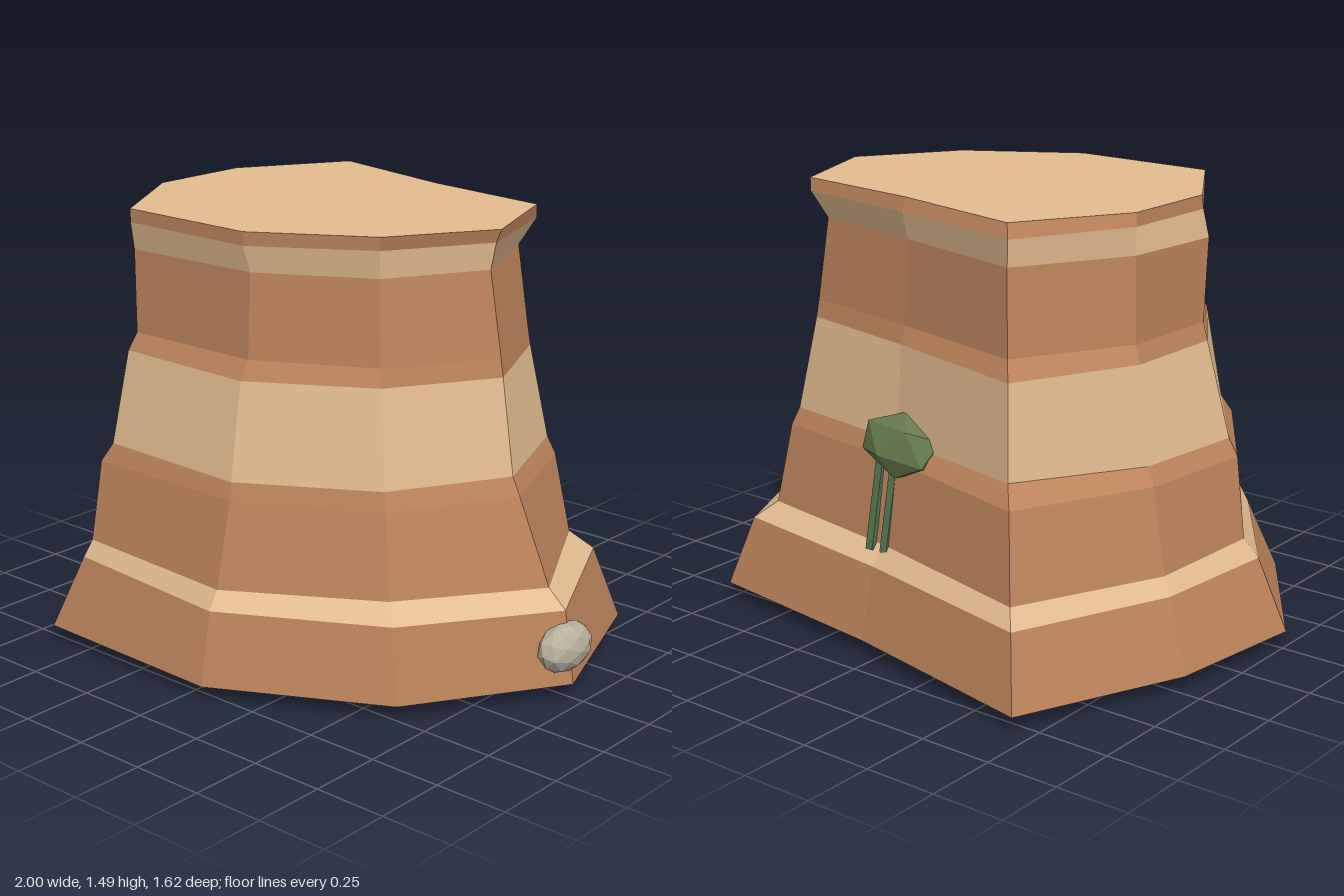
import * as THREE from 'three';

const material = (name, color, side = THREE.FrontSide, flatShading = true) => {
  const m = new THREE.MeshStandardMaterial({ color, side, flatShading });
  m.name = name;
  return m;
};

export function createModel() {
  const model = new THREE.Group();
  model.name = 'mesa';
  const terracotta = material('terracotta rock', 0xbd845c, THREE.DoubleSide, false);
  const tan = material('tan rock', 0xe4bd91, THREE.DoubleSide, false);
  const stone = material('pale stone', 0xb9b09e);
  const gray = material('gray boulder', 0x90908c);
  const floor = material('gray floor', 0x71706e, THREE.DoubleSide);
  const water = material('pale blue', 0x8ea5b6, THREE.DoubleSide);
  const char = material('charred wood', 0x6a6160);
  const leaf = material('leaf green', 0x657a4c);
  const stem = material('stem green', 0x537250);

  const add = (name, geometry, mat, position = [0, 0, 0], scale = [1, 1, 1], rotation = [0, 0, 0]) => {
    const mesh = new THREE.Mesh(geometry, mat);
    mesh.name = name;
    mesh.position.set(...position);
    mesh.scale.set(...scale);
    mesh.rotation.set(...rotation);
    model.add(mesh);
  };

  // Footprint corners, and each corner's scale at every height
  const levels = [0.055, 0.30, 0.36, 0.64, 0.70, 1.02, 1.08, 1.36, 1.45, 1.495];
  const footprint = [
    [0.965, 0.01], [0.645, 0.51], [0.08, 0.805], [-0.65, 0.785], [-1, 0.27],
    [-0.935, -0.24], [-0.69, -0.81], [0.05, -0.655], [0.755, -0.56],
  ];
  const taper = [
    [1, 0.96, 0.89, 0.76, 0.73, 0.68, 0.67, 0.62, 0.64, 0.66],
    [1, 0.93, 0.85, 0.79, 0.76, 0.69, 0.67, 0.64, 0.65, 0.66],
    [1, 0.94, 0.89, 0.80, 0.79, 0.72, 0.67, 0.65, 0.69, 0.69],
    [1, 0.89, 0.86, 0.82, 0.78, 0.72, 0.69, 0.69, 0.70, 0.70],
    [1, 0.90, 0.85, 0.82, 0.79, 0.71, 0.695, 0.705, 0.685, 0.68],
    [1, 0.92, 0.89, 0.83, 0.80, 0.75, 0.73, 0.72, 0.72, 0.72],
    [1, 0.93, 0.88, 0.81, 0.73, 0.735, 0.685, 0.67, 0.69, 0.66],
    [1, 0.92, 0.84, 0.77, 0.73, 0.70, 0.67, 0.645, 0.68, 0.65],
    [1, 0.90, 0.81, 0.75, 0.72, 0.65, 0.64, 0.60, 0.66, 0.66],
  ];
  const n = footprint.length;
  const corner = (i, k) => {
    const [x, z] = footprint[i % n];
    const s = taper[i % n][k];
    return new THREE.Vector3(x * s, levels[k], z * s);
  };

  // One evenly shaded four-sided face for each side of each band
  const band = (first, last) => {
    const points = [], normals = [];
    for (let k = first; k < last; k++) {
      for (let i = 0; i < n; i++) {
        const a = corner(i, k), b = corner(i + 1, k);
        const c = corner(i + 1, k + 1), d = corner(i, k + 1);
        const normal = c.clone().sub(a).cross(b.clone().sub(d)).normalize();
        for (const p of [a, d, c, a, c, b]) {
          points.push(...p.toArray());
          normals.push(...normal.toArray());
        }
      }
    }
    const g = new THREE.BufferGeometry();
    g.setAttribute('position', new THREE.Float32BufferAttribute(points, 3));
    g.setAttribute('normal', new THREE.Float32BufferAttribute(normals, 3));
    return g;
  };

  // Rock strata: name, material, first level, last level
  const strata = [
    ['baseStratum', terracotta, 0, 1],
    ['baseLedge', tan, 1, 2],
    ['lowerStratum', terracotta, 2, 4],
    ['middleStratum', tan, 4, 5],
    ['upperStratum', terracotta, 5, 7],
    ['neckStratum', tan, 7, 8],
    ['rimStratum', terracotta, 8, 9],
  ];
  for (const [name, mat, first, last] of strata) add(name, band(first, last), mat);

  // Flat summit
  const outline = new THREE.Shape(footprint.map((_, i) => {
    const p = corner(i, 9);
    return new THREE.Vector2(p.x, -p.z);
  }));
  add('summit', new THREE.ShapeGeometry(outline).rotateX(-Math.PI / 2), tan, [0, levels[9], 0]);

  // Pale stones at the foot
  const rock = new THREE.IcosahedronGeometry(1, 1).rotateX(0.55);
  add('sideStone', rock, stone, [0.932, 0.18, 0.015], [0.068, 0.083, 0.12]);
  add('innerStone', rock, stone, [0.72, 0.135, 0.03], [0.13, 0.085, 0.16]);

  // Shrub on the back ledge
  add('shrubCrown', new THREE.IcosahedronGeometry(1, 0).rotateZ(0.5), leaf,
    [0, 0.70, -0.505], [0.175, 0.11, 0.062], [0.3, 0, 0.1]);
  for (const x of [0.03, 0.09]) {
    add('shrubStem', new THREE.BoxGeometry(0.028, 0.29, 0.018), stem,
      [x, 0.48, -0.532], [1, 1, 1], [0.2, 0, 0]);
  }

  // Irregular flat outlines, facing down
  const blob = (radii, r) => {
    const s = new THREE.Shape(radii.map((f, i) => {
      const a = i / radii.length * Math.PI * 2;
      return new THREE.Vector2(Math.cos(a) * f * r, Math.sin(a) * f * r);
    }));
    return new THREE.ShapeGeometry(s).rotateX(Math.PI / 2);
  };

  // Cave floor, notched at the back around the pillar
  add('caveFloor', blob([1, 0.93, 1.03, 0.95, 1.02, 0.92, 1, 0.96, 1.02, 0.5, 0.74, 0.8, 0.94], 0.61),
    floor, [-0.05, 0.066, -0.09]);

  // Puddles around the hearth: angle, distance, length, width
  const puddle = blob([1, 0.7, 0.9, 0.5, 1, 0.6, 0.9, 0.6], 1);
  const puddles = [
    [0.3, 0.32, 0.15, 0.05], [1.0, 0.36, 0.10, 0.04], [1.7, 0.30, 0.11, 0.035], [2.5, 0.28, 0.08, 0.03],
    [3.3, 0.30, 0.13, 0.04], [5.1, 0.30, 0.13, 0.045], [5.8, 0.36, 0.10, 0.05],
  ];
  for (const [a, d, l, w] of puddles) {
    add('puddle', puddle, water, [-0.09 + Math.cos(a) * d, 0.061, Math.sin(a) * d],
      [l, 1, w], [0, Math.PI / 2 - a, 0]);
  }

  // Hearth with a star of charred sticks
  const stick = new THREE.ConeGeometry(0.018, 0.2, 4).rotateZ(-Math.PI / 2).translate(0.1, 0, 0);
  for (let i = 0; i < 11; i++) {
    const length = 0.85 + 0.15 * Math.cos(i * 2.1);
    add('charredStick', stick, char, [-0.09, 0.054, 0], [length, 0.4, 1], [0, i / 11 * Math.PI * 2, 0]);
  }
  add('hearth', new THREE.CylinderGeometry(0.07, 0.065, 0.035, 7), char, [-0.09, 0.038, 0.005]);
  add('hearthTip', new THREE.DodecahedronGeometry(0.035), char, [-0.08, 0.026, 0.01], [1, 0.74, 1]);

  // Gray boulders behind the cave floor: x, y, z, size
  const boulders = [
    [0.52, 0.19, -0.12, 0.17], [0.36, 0.19, -0.32, 0.15], [0.17, 0.18, -0.43, 0.12], [-0.03, 0.19, -0.46, 0.11],
    [-0.36, 0.19, -0.50, 0.15], [-0.62, 0.16, -0.26, 0.10], [-0.66, 0.16, 0.10, 0.09], [0.48, 0.18, 0.18, 0.12],
  ];
  boulders.forEach(([x, y, z, r], i) => {
    add('boulder', new THREE.IcosahedronGeometry(1, i % 2), gray, [x, y, z], [r, r * 0.8, r], [i, i * 1.7, 0]);
  });
  add('cavePillar', new THREE.CylinderGeometry(0.07, 0.09, 0.36, 6), char, [-0.18, 0.25, -0.37]);

  return model;
}
